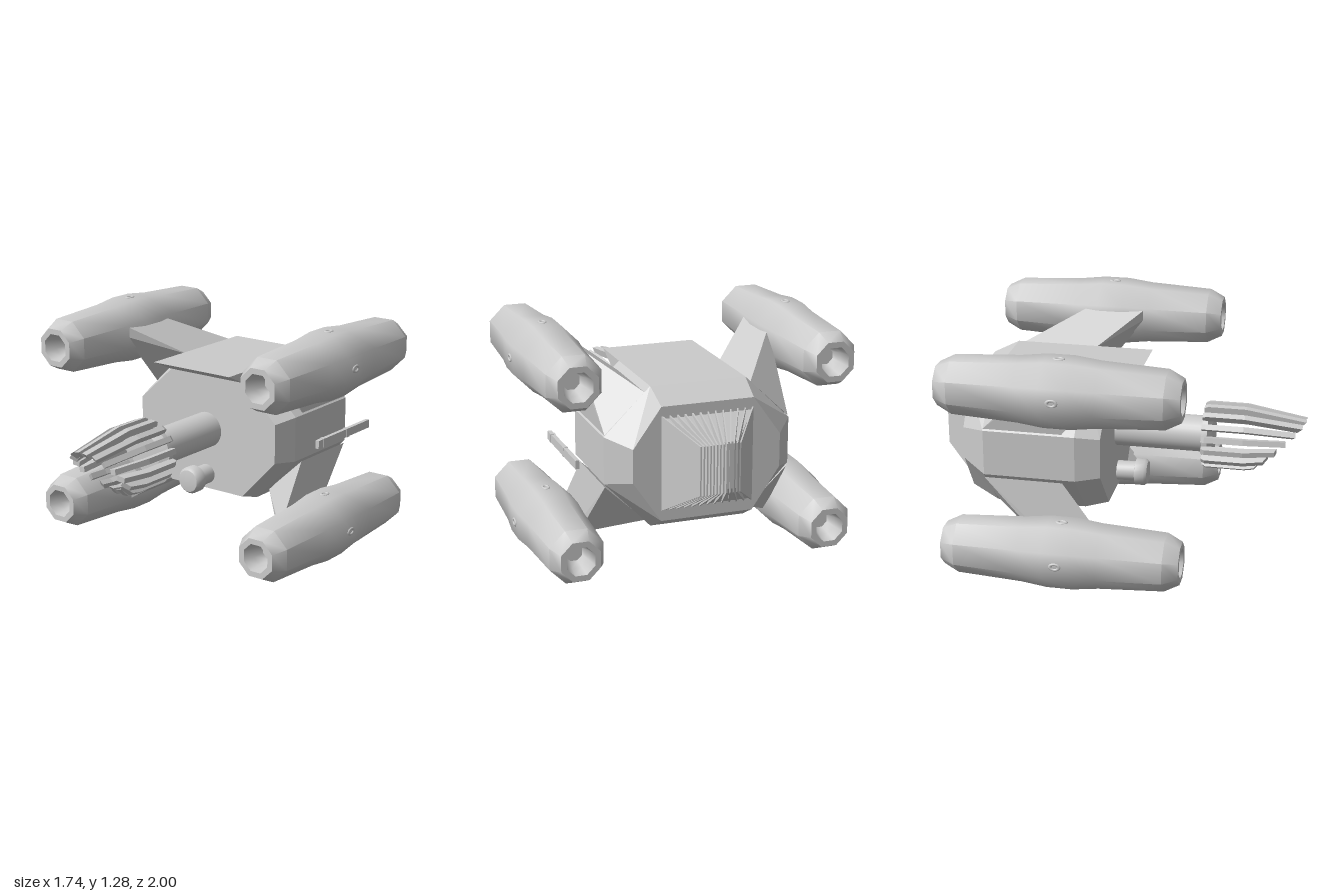
import * as THREE from 'three';
import { toCreasedNormals } from 'three/addons/utils/BufferGeometryUtils.js';
import { ConvexGeometry } from 'three/addons/geometries/ConvexGeometry.js';

const MID_Y = 0.635;
const material = new THREE.MeshStandardMaterial({ color: 0xcccccc });

function add(parent, name, geometry, x = 0, y = 0, z = 0) {
  const mesh = new THREE.Mesh(geometry, material);
  mesh.name = name;
  mesh.position.set(x, y, z);
  parent.add(mesh);
  return mesh;
}

const hull = (points) => new ConvexGeometry(points.map((p) => new THREE.Vector3(...p)));

// Skins rings of points (counter-clockwise seen from +z) and caps both ends
function loft(rings) {
  const pos = [];
  const tri = (...corners) => corners.forEach((c) => pos.push(...c));
  const n = rings[0].length;
  const last = rings[rings.length - 1];
  for (let i = 0; i < rings.length - 1; i++) {
    for (let j = 0; j < n; j++) {
      const k = (j + 1) % n;
      const a = rings[i][j], b = rings[i][k], c = rings[i + 1][k], d = rings[i + 1][j];
      tri(a, d, b);
      tri(b, d, c);
    }
  }
  for (let j = 1; j < n - 1; j++) {
    tri(rings[0][0], rings[0][j], rings[0][j + 1]);
    tri(last[0], last[j + 1], last[j]);
  }
  const g = new THREE.BufferGeometry();
  g.setAttribute('position', new THREE.Float32BufferAttribute(pos, 3));
  g.computeVertexNormals();
  return g;
}

// Eight-sided hull section: half width, half top width, side and end heights
function hullRing(z, hx, cx, sideTop, sideBottom, top, bottom) {
  return [
    [hx, sideBottom, z], [hx, sideTop, z], [cx, top, z], [-cx, top, z],
    [-hx, sideTop, z], [-hx, sideBottom, z], [-cx, bottom, z], [cx, bottom, z],
  ];
}

// Regular octagon with flats on the axes
function octagon(z, apothem) {
  const r = apothem / Math.cos(Math.PI / 8);
  return Array.from({ length: 8 }, (_, i) => {
    const a = ((i + 0.5) * Math.PI) / 4;
    return [r * Math.cos(a), r * Math.sin(a), z];
  });
}

function makeBody(group) {
  add(group, 'hull', loft([
    hullRing(-0.05, 0.465, 0.25, 0.745, 0.525, 0.944, 0.29),
    hullRing(-0.18, 0.51, 0.26, 0.765, 0.513, 1.01, 0.254),
    hullRing(-0.68, 0.51, 0.26, 0.765, 0.513, 1.01, 0.254),
    hullRing(-0.82, 0.4, 0.25, 0.73, 0.55, 0.94, 0.33),
  ]));
  // Overhanging lip of the roof
  const x = 0.26;
  add(group, 'roofLip', hull([-x, x].flatMap((s) => [
    [s, 1.01, -0.18], [s, 1.01, 0.095], [s, 0.944, -0.05], [s, 0.944, -0.18],
  ])));
}

// Tapered vent with splayed vertical fins
function makeVent(group) {
  const taper = (z, hx, hy) => [
    [hx, MID_Y - hy, z], [hx, MID_Y + hy, z], [-hx, MID_Y + hy, z], [-hx, MID_Y - hy, z],
  ];
  add(group, 'rearVent', loft([taper(-0.81, 0.25, 0.25), taper(-0.945, 0.12, 0.125)]));
  const count = 13, t = 0.004;
  for (let i = 0; i < count; i++) {
    const u = (2 * i) / (count - 1) - 1;
    add(group, 'ventFin', hull([-t, t].flatMap((s) => [
      [u * 0.245 + s, 0.385, -0.82], [u * 0.245 + s, 0.89, -0.82],
      [u * 0.105 + s, 0.77, -1], [u * 0.105 + s, 0.51, -1],
    ])));
  }
}

function makeGun(group) {
  const gun = new THREE.Group();
  gun.name = 'gun';
  gun.position.y = MID_Y;
  group.add(gun);
  add(gun, 'barrel', new THREE.CylinderGeometry(0.1, 0.1, 0.55, 32).rotateX(Math.PI / 2), 0, 0, 0.215);
  // Collar joining the barrel to the blades
  const collar = [[0.09, 0.44], [0.15, 0.44], [0.15, 0.47], [0.1, 0.49], [0.09, 0.44]];
  add(gun, 'collar', toCreasedNormals(new THREE.LatheGeometry(
    collar.map(([r, z]) => new THREE.Vector2(r, z)), 32).rotateX(Math.PI / 2), 0.5));
  // Ring of blades, cut off by a slanted plane and leaning inward at the muzzle
  const count = 16, width = 0.03, bend = 0.67;
  for (let i = 0; i < count; i++) {
    const a = ((i + 0.5) / count) * Math.PI * 2;
    const s = Math.sin(a);
    const end = (r) => {
      const z = (0.87 + s * (r + bend / 6)) / (1 + s / 6);
      return [z, r - (z - bend) / 6];
    };
    const outline = [[0.44, 0.145], [bend, 0.145], end(0.145), end(0.185), [bend, 0.185], [0.46, 0.185], [0.44, 0.175]];
    if (end(0.145)[0] < bend + 0.03) { outline.splice(4, 1); outline.splice(1, 1); }
    const shape = new THREE.Shape(outline.map(([z, r]) => new THREE.Vector2(r, z)));
    const blade = new THREE.ExtrudeGeometry(shape, { depth: width, bevelEnabled: false });
    blade.translate(0, 0, -width / 2).rotateX(Math.PI / 2).rotateZ(a);
    add(gun, 'blade', blade);
  }
}

// Round sensor on a short stem under the barrel
function makeSensor(group) {
  const profile = [[0, -0.06], [0.055, -0.06], [0.055, 0.05], [0.075, 0.055], [0.075, 0.105], [0.062, 0.122], [0, 0.132]];
  const g = new THREE.LatheGeometry(profile.map(([r, z]) => new THREE.Vector2(r, z)), 24).rotateX(Math.PI / 2);
  add(group, 'sensor', toCreasedNormals(g, 0.7), 0, 0.375, 0);
}

// Hollow-ended pods with small ports on four sides
function makePod(group, sx, sy) {
  const pod = new THREE.Group();
  pod.name = 'enginePod';
  pod.position.set(sx * 0.688, MID_Y + sy * 0.456, 0);
  group.add(pod);
  const stations = [
    [0.3, 0.045], [0.36, 0.062], [0.43, 0.075], [0.43, 0.105], [0.35, 0.143], [0, 0.16], [-0.14, 0.176],
    [-0.28, 0.176], [-0.42, 0.16], [-0.77, 0.143], [-0.85, 0.105], [-0.85, 0.075], [-0.78, 0.062], [-0.72, 0.045],
  ];
  add(pod, 'podShell', toCreasedNormals(loft(stations.map(([z, r]) => octagon(z, r))), 0.82));
  for (let i = 0; i < 4; i++) {
    const ring = new THREE.TorusGeometry(0.016, 0.007, 8, 16).scale(1, 1.5, 1);
    ring.rotateX(-Math.PI / 2).translate(0, 0.175, -0.21).rotateZ((i * Math.PI) / 2);
    add(pod, 'podPort', ring);
  }
}

// Wedge strut sweeping forward from the hull's slanted side to the pod
function makePylon(group, sx, sy) {
  const section = [
    [0.29, 0.345, -0.25, -0.68], [0.505, 0.14, -0.25, -0.68],
    [0.54, 0.52, 0, -0.32], [0.54, 0.46, 0, -0.32],
  ];
  add(group, 'pylon', hull(section.flatMap(([x, y, z0, z1]) =>
    [z0, z1].map((z) => [sx * x, MID_Y + sy * y, z]))));
}

// Slim rail on the left side only
function makeRail(group) {
  add(group, 'sideRail', new THREE.BoxGeometry(0.022, 0.046, 0.51), 0.652, 0.638, -0.435);
  for (const z of [-0.235, -0.47]) {
    add(group, 'railClip', new THREE.BoxGeometry(0.026, 0.05, 0.025), 0.652, 0.638, z);
  }
}

export function createModel() {
  const group = new THREE.Group();
  group.name = 'spacecraft';
  makeBody(group);
  makeVent(group);
  makeGun(group);
  makeSensor(group);
  for (const sx of [-1, 1]) {
    for (const sy of [-1, 1]) {
      makePod(group, sx, sy);
      makePylon(group, sx, sy);
    }
  }
  makeRail(group);
  return group;
}
